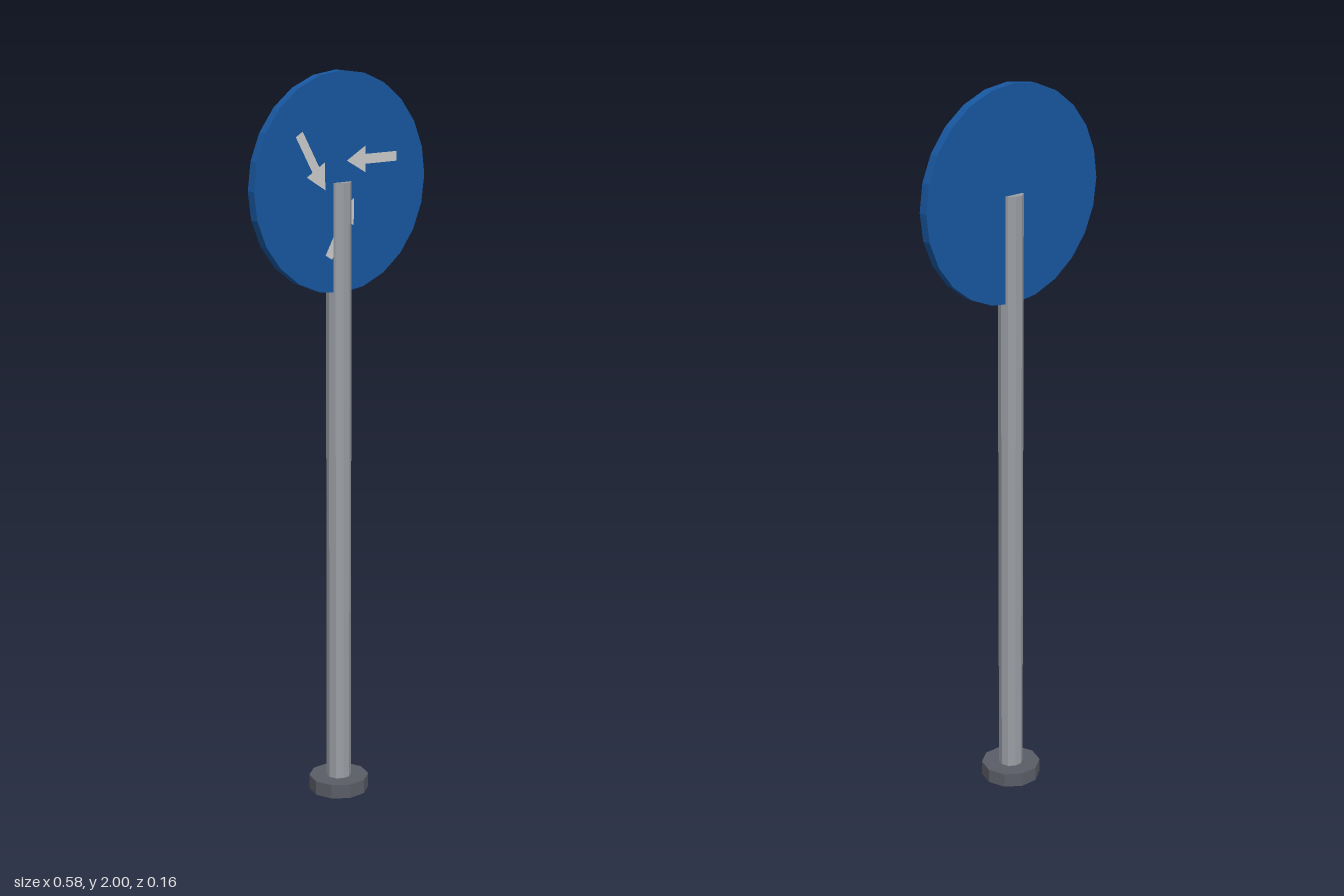
import * as THREE from 'three';

const material = (color, side = THREE.FrontSide) =>
  new THREE.MeshStandardMaterial({ color, side, flatShading: true });

function addMesh(parent, name, geometry, mat) {
  const mesh = new THREE.Mesh(geometry, mat);
  mesh.name = name;
  parent.add(mesh);
  return mesh;
}

// Ten-sided upright prism standing on y = 0, one corner towards +x
function prism(radius, height) {
  return new THREE.CylinderGeometry(radius, radius, height, 10)
    .rotateY(Math.PI / 2)
    .translate(0, height / 2, 0);
}

// Arrow pointing to -x, placed relative to the disc centre
function arrowShape() {
  const tip = 0.016, neck = 0.08, tail = 0.19, y = 0.057;
  const shaft = 0.013, head = 0.035;
  return new THREE.Shape([
    [tip, 0], [neck, -head], [neck, -shaft], [tail, -shaft],
    [tail, shaft], [neck, shaft], [neck, head],
  ].map(([px, py]) => new THREE.Vector2(px, y + py)));
}

export function createModel() {
  const model = new THREE.Group();
  model.name = 'roundaboutSign';

  const discRadius = 0.292, discDepth = 0.026, centreY = 2 - discRadius;

  // Foot and post
  addMesh(model, 'base', prism(0.083, 0.04), material(0x5a5d66));
  addMesh(model, 'pole', prism(0.034, 1.71), material(0x9a9fa4));

  // Round sign plate with three arrows circling on its front
  const sign = new THREE.Group();
  sign.name = 'sign';
  sign.position.y = centreY;
  model.add(sign);

  const disc = new THREE.CylinderGeometry(discRadius, discRadius, discDepth, 24).rotateX(Math.PI / 2);
  addMesh(sign, 'signDisc', disc, material(0x1857a0));

  const arrowGeometry = new THREE.ShapeGeometry(arrowShape());
  const arrowMaterial = material(0xeeeeee);
  for (let i = 0; i < 3; i++) {
    const arrow = addMesh(sign, `arrow${i + 1}`, arrowGeometry, arrowMaterial);
    arrow.position.z = discDepth / 2 + 0.001;
    arrow.rotation.z = (i * Math.PI * 2) / 3;
  }

  return model;
}
